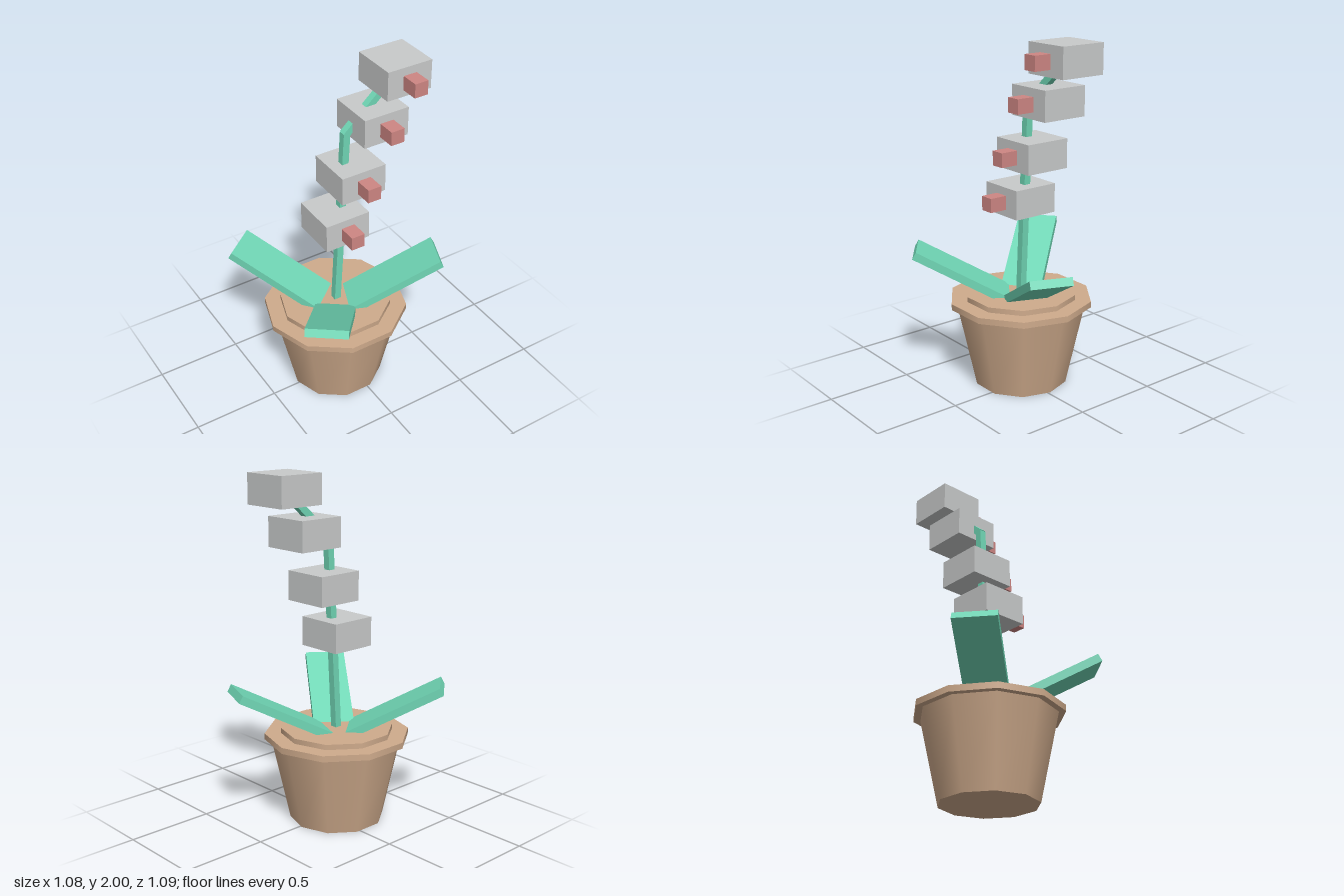
import * as THREE from 'three';

const flat = (name, color) => {
  const m = new THREE.MeshStandardMaterial({ color });
  m.name = name;
  return m;
};

export function createModel() {
  const clay = flat('clay', 0xcfab8c);
  const green = flat('leafGreen', 0x70d6b5);
  const grey = flat('petalGrey', 0xc8caca);
  const pink = flat('centrePink', 0xce8683);
  const model = new THREE.Group();
  model.name = 'pottedFlower';

  const add = (name, geometry, material, x, y, z) => {
    const mesh = new THREE.Mesh(geometry, material);
    mesh.name = name;
    mesh.position.set(x, y, z);
    model.add(mesh);
    return mesh;
  };

  const X = -0.062, Z = -0.014;

  // Ten-sided pot with a corner on the x axis
  const ring = (name, rTop, rBottom, y0, y1) => {
    const g = new THREE.CylinderGeometry(rTop, rBottom, y1 - y0, 10);
    g.rotateY(Math.PI / 2);
    add(name, g, clay, X, (y0 + y1) / 2, Z);
  };
  ring('potBody', 0.375, 0.27, 0, 0.48);
  ring('potRim', 0.413, 0.413, 0.48, 0.515);
  ring('soil', 0.32, 0.32, 0.515, 0.545);

  // Leaves: slabs rising outward, placed by the middle of the lower tip edge
  const leaves = [
    ['backLeaf', -0.455, -0.47, -0.64, -0.77],
    ['sideLeaf', 0.495, 0.22, 0.926, 0.377],
    ['frontLeaf', -0.417, 0.475, -0.6, 0.8],
  ];
  for (const [name, x, z, dx, dz] of leaves) {
    const g = new THREE.BoxGeometry(0.64, 0.046, 0.234);
    g.translate(-0.32, 0.023, 0);
    g.rotateZ(THREE.MathUtils.degToRad(28));
    g.rotateY(Math.atan2(-dz, dx));
    add(name, g, green, x, 0.78, z);
  }

  // Square stem in two straight lengths
  const stem = (name, x0, y0, x1, y1) => {
    const g = new THREE.BoxGeometry(0.04, Math.hypot(x1 - x0, y1 - y0), 0.04);
    g.rotateZ(-Math.atan2(x1 - x0, y1 - y0));
    add(name, g, green, (x0 + x1) / 2, (y0 + y1) / 2, Z);
  };
  stem('lowerStem', -0.059, 0.5, 0.006, 1.64);
  stem('upperStem', 0.0, 1.63, 0.28, 1.88);

  // Box blossoms with a small cube on the front
  const blossoms = [[-0.06, 1.103], [0.04, 1.375], [0.175, 1.682], [0.31, 1.918]];
  for (const [x, y] of blossoms) {
    add('blossom', new THREE.BoxGeometry(0.27, 0.165, 0.27), grey, x, y, Z);
    add('blossomCentre', new THREE.BoxGeometry(0.08, 0.08, 0.12), pink, x, y - 0.003, 0.163);
  }
  return model;
}
